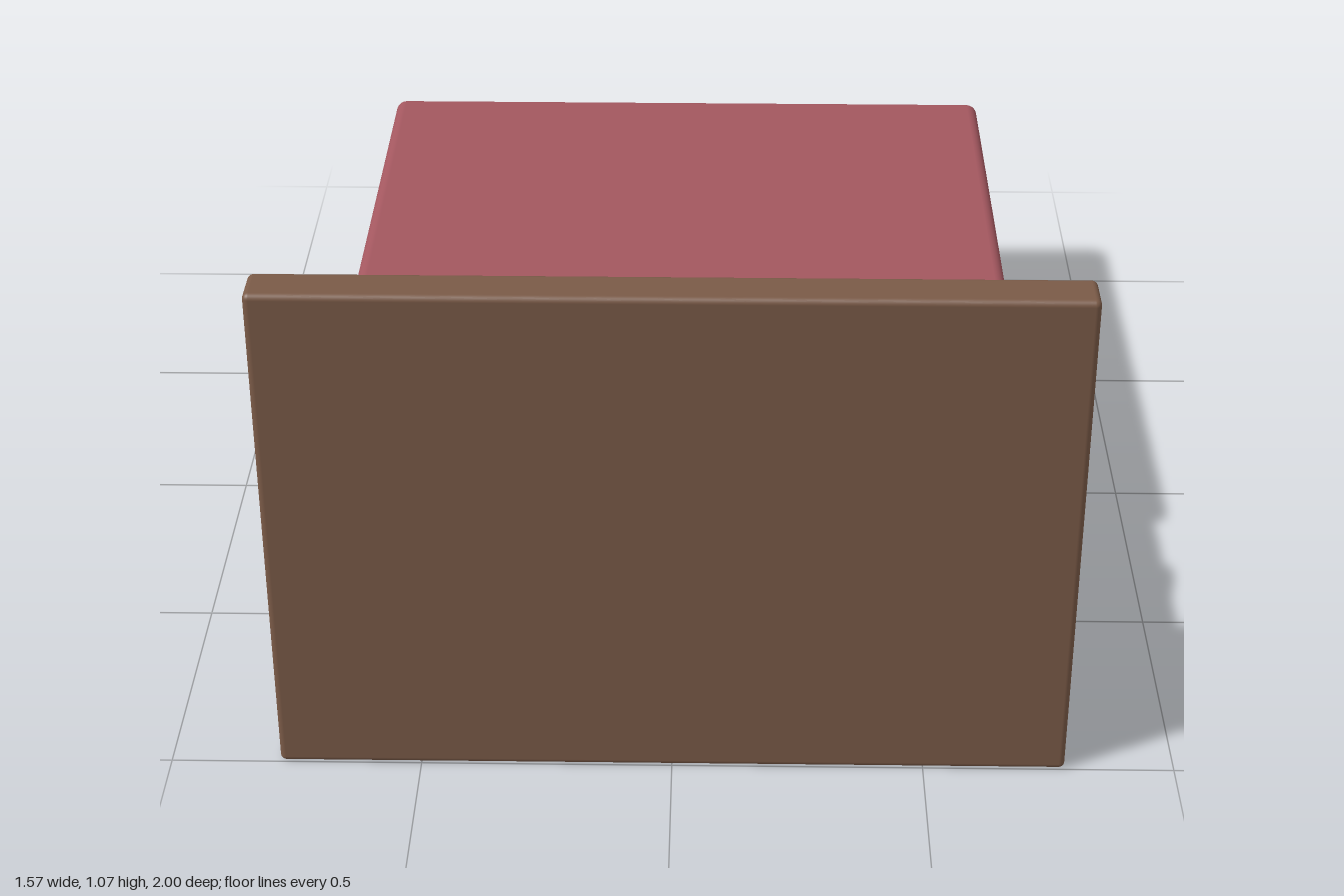
import * as THREE from 'three';
import { RoundedBoxGeometry } from 'three/addons/geometries/RoundedBoxGeometry.js';

const material = (name, color) => {
  const m = new THREE.MeshStandardMaterial({ color });
  m.name = name;
  return m;
};

export function createModel() {
  const bed = new THREE.Group();
  bed.name = 'bed';

  const wood = material('brown wood', 0x7a5a47);
  const red = material('red blanket', 0xa3575f);
  const sheet = material('pale sheet', 0xd4d3cf);
  const linen = material('light linen', 0xdddcd8);

  const add = (name, geometry, mat, x, y, z) => {
    const mesh = new THREE.Mesh(geometry, mat);
    mesh.name = name;
    mesh.position.set(x, y, z);
    bed.add(mesh);
    return mesh;
  };

  // Rounded block given by its width and its y and z ranges
  const block = (name, mat, width, y0, y1, z0, z1, radius) =>
    add(name, new RoundedBoxGeometry(width, y1 - y0, z1 - z0, 4, radius), mat,
      0, (y0 + y1) / 2, (z0 + z1) / 2);

  // Wooden frame and headboard
  add('frame', new THREE.BoxGeometry(1.49, 0.22, 1.91), wood, 0, 0.19, -0.045);
  block('headboard', wood, 1.565, 0, 1.07, 0.91, 1, 0.012);

  // Bedding
  block('mattress', sheet, 1.41, 0.28, 0.5, -0.95, 0.885, 0.015);
  block('blanket', red, 1.45, 0.3, 0.525, -0.975, 0.3, 0.025);

  for (const side of [-1, 1]) {
    // Pillow leaning back
    const pillow = add('pillow', new RoundedBoxGeometry(0.54, 0.12, 0.34, 5, 0.035),
      linen, side * 0.355, 0.557, 0.674);
    pillow.rotation.x = 0.2;

    // Short round legs
    for (const z of [-0.915, 0.88]) {
      add('leg', new THREE.CylinderGeometry(0.032, 0.032, 0.08, 20), wood, side * 0.675, 0.04, z);
    }
  }
  return bed;
}
